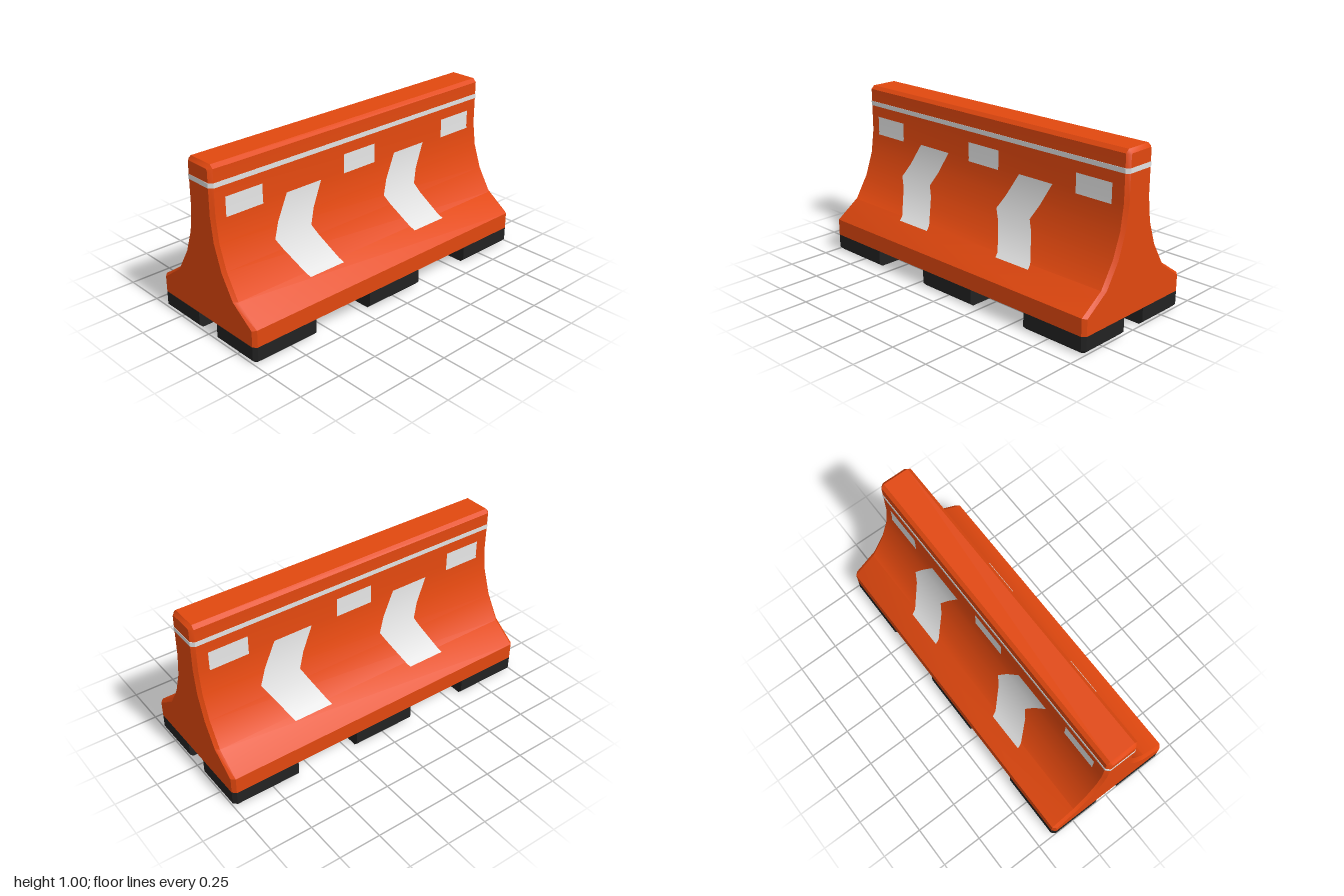
import * as THREE from 'three';
import { toCreasedNormals } from 'three/addons/utils/BufferGeometryUtils.js';

const orange = new THREE.MeshStandardMaterial({ name: 'orange plastic', color: 0xe2480f });
const white = new THREE.MeshStandardMaterial({ name: 'reflective white', color: 0xe2e2e2 });
const black = new THREE.MeshStandardMaterial({ name: 'black rubber', color: 0x222222 });

// Half profile as [y, z], from the base upwards
const side = [[0.1, 0.4], [0.2, 0.4], [0.3, 0.255], [0.44, 0.17], [0.58, 0.12], [0.72, 0.1], [0.98, 0.1], [1, 0.08]];
const sideInset = [[0.1, 0.38], [0.195, 0.38], [0.298, 0.235], [0.432, 0.152], [0.58, 0.1], [0.725, 0.08], [0.972, 0.08], [0.98, 0.072]];

// Joins counter-clockwise 2D rings {h, pts} along h and caps both ends
function loft(rings, map) {
  const n = rings[0].pts.length, pos = [], idx = [];
  for (const { h, pts } of rings) for (const [a, b] of pts) pos.push(...map(a, b, h));
  for (let r = 0; r < rings.length - 1; r++) {
    for (let i = 0; i < n; i++) {
      const a = r * n + i, b = r * n + (i + 1) % n;
      idx.push(a, b, b + n, a, b + n, a + n);
    }
  }
  const cap = (r) => THREE.ShapeUtils.triangulateShape(rings[r].pts.map((p) => new THREE.Vector2(...p)), []);
  const last = rings.length - 1;
  for (const [a, b, c] of cap(0)) idx.push(a, c, b);
  for (const t of cap(last)) idx.push(...t.map((i) => i + last * n));
  const g = new THREE.BufferGeometry();
  g.setAttribute('position', new THREE.Float32BufferAttribute(pos, 3));
  g.setIndex(idx);
  return toCreasedNormals(g, 0.6);
}
const alongX = (a, b, h) => [h, a, b];
const alongY = (a, b, h) => [b, h, a];

// Linear lookup in a list of [y, value]
function lookup(list, y) {
  let i = 0;
  while (i < list.length - 2 && list[i + 1][0] < y) i++;
  const [[y0, v0], [y1, v1]] = [list[i], list[i + 1]];
  return v0 + (v1 - v0) * (y - y0) / (y1 - y0);
}

// Tilt of the wall at each profile point, averaged over its two segments
const segTilt = side.slice(1).map(([y, z], i) => Math.atan2(side[i][1] - z, y - side[i][0]));
const tilts = side.slice(1, 7).map(([y], i) => [y, i === 0 ? segTilt[1] : i === 5 ? 0 : (segTilt[i] + segTilt[i + 1]) / 2]);

// Thin marking that hugs the front wall; left and right are lists of [y, x]
function decal(left, right) {
  const ys = [...left.map((p) => p[0]), ...side.map((p) => p[0])];
  const y0 = left[0][0], y1 = left[left.length - 1][0];
  const rows = [...new Set(ys)].filter((y) => y >= y0 && y <= y1).sort((a, b) => a - b);
  const pos = [], nor = [], idx = [];
  rows.forEach((y, r) => {
    const t = lookup(tilts, y), ny = Math.sin(t), nz = Math.cos(t), off = 0.004;
    for (const edge of [left, right]) {
      pos.push(lookup(edge, y), y + ny * off, lookup(side, y) + nz * off);
      nor.push(0, ny, nz);
    }
    const k = r * 2;
    if (r) idx.push(k - 2, k - 1, k + 1, k - 2, k + 1, k);
  });
  const g = new THREE.BufferGeometry();
  g.setAttribute('position', new THREE.Float32BufferAttribute(pos, 3));
  g.setAttribute('normal', new THREE.Float32BufferAttribute(nor, 3));
  g.setIndex(idx);
  return g;
}

export function createModel() {
  const model = new THREE.Group();
  model.name = 'roadBarrier';
  const add = (parent, name, geometry, material) => {
    const mesh = new THREE.Mesh(geometry, material);
    mesh.name = name;
    parent.add(mesh);
  };

  // Flared body with bevelled ends
  const ring = (half) => [...half.map(([y, z]) => [y, -z]), ...[...half].reverse()];
  add(model, 'body', loft([
    { h: -1, pts: ring(sideInset) }, { h: -0.98, pts: ring(side) },
    { h: 0.98, pts: ring(side) }, { h: 1, pts: ring(sideInset) },
  ], alongX), orange);

  // Band running all the way round near the top
  const e = 0.002, Z = 0.1 + e, X = 1 + e, c = 0.02;
  const band = [[-Z, -X + c], [-Z + c, -X], [Z - c, -X], [Z, -X + c], [Z, X - c], [Z - c, X], [-Z + c, X], [-Z, X - c]];
  add(model, 'band', loft([{ h: 0.878, pts: band }, { h: 0.905, pts: band }], alongY), white);

  // Chevrons and plates, the same on both faces by a half turn
  for (const face of ['front', 'back']) {
    const marks = new THREE.Group();
    marks.name = face + 'Markings';
    if (face === 'back') marks.rotation.y = Math.PI;
    for (const x of [-0.65, 0.15]) {
      add(marks, 'chevron', decal(
        [[0.28, x + 0.125], [0.5, x], [0.715, x + 0.125]],
        [[0.28, x + 0.365], [0.5, x + 0.25], [0.715, x + 0.365]]), white);
    }
    for (const x of [-0.8, 0, 0.79]) {
      add(marks, 'plate', decal([[0.703, x - 0.117], [0.815, x - 0.117]], [[0.703, x + 0.117], [0.815, x + 0.117]]), white);
    }
    model.add(marks);
  }

  // Six feet, bevelled only on their outer edges; outlines are [z, x]
  const corner = [[0.08, 0.59], [0.4, 0.59], [0.4, 0.98], [0.38, 1], [0.08, 1]];
  const cornerLow = [[0.08, 0.59], [0.38, 0.59], [0.38, 0.968], [0.368, 0.98], [0.08, 0.98]];
  const middle = [[0.08, -0.195], [0.4, -0.195], [0.4, 0.195], [0.08, 0.195]];
  const middleLow = middle.map(([z, x]) => [Math.min(z, 0.38), x]);
  const foot = (name, top, low, sx, sz) => {
    const flip = (pts) => {
      const out = pts.map(([z, x]) => [z * sz, x * sx]);
      return sx * sz < 0 ? out.reverse() : out;
    };
    add(model, name, loft([
      { h: 0, pts: flip(low) }, { h: 0.02, pts: flip(top) }, { h: 0.1, pts: flip(top) },
    ], alongY), black);
  };
  for (const sz of [1, -1]) {
    for (const sx of [1, -1]) foot('cornerFoot', corner, cornerLow, sx, sz);
    foot('middleFoot', middle, middleLow, 1, sz);
  }
  return model;
}
